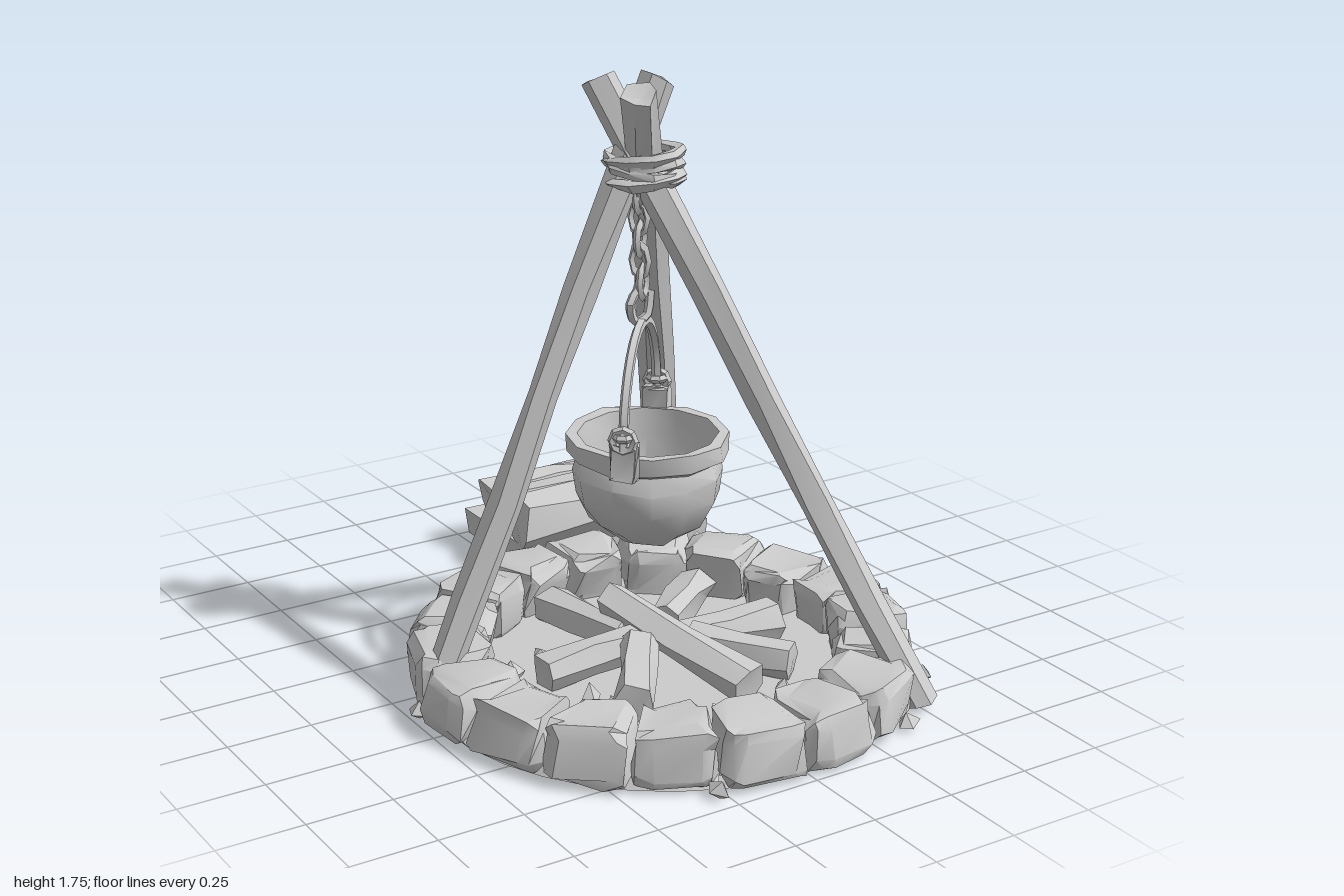
import * as THREE from 'three';
import { toCreasedNormals } from 'three/addons/utils/BufferGeometryUtils.js';
import { RoundedBoxGeometry } from 'three/addons/geometries/RoundedBoxGeometry.js';

const V = (x, y, z) => new THREE.Vector3(x, y, z);
const grey = new THREE.MeshStandardMaterial({ color: 0xcccccc });
const greyOpen = new THREE.MeshStandardMaterial({ color: 0xcccccc, side: THREE.DoubleSide });

// repeatable value in -0.5..0.5
function noise(a, b = 0) {
  const s = Math.sin(a * 12.9898 + b * 78.233) * 43758.5453;
  return s - Math.floor(s) - 0.5;
}

// move every vertex by a rule
function warp(geo, rule) {
  const pos = geo.attributes.position;
  const p = V(0, 0, 0);
  for (let i = 0; i < pos.count; i++) {
    p.fromBufferAttribute(pos, i);
    rule(p);
    pos.setXYZ(i, p.x, p.y, p.z);
  }
  return geo;
}

// roughen a shape; coincident corners move together
function roughen(geo, amount, seed) {
  return warp(geo, (p) => {
    const k = Math.round(p.x * 500) + Math.round(p.y * 500) * 3.7 + Math.round(p.z * 500) * 7.3;
    p.x += noise(k, seed) * amount;
    p.y += noise(k, seed + 1.3) * amount;
    p.z += noise(k, seed + 2.6) * amount;
  });
}

function add(parent, name, geo, crease = 0.6, material = grey) {
  const mesh = new THREE.Mesh(toCreasedNormals(geo, crease), material);
  mesh.name = name;
  parent.add(mesh);
  return mesh;
}

function group(parent, name) {
  const g = new THREE.Group();
  g.name = name;
  parent.add(g);
  return g;
}

// rough stick from a to b, resting on or above the ground
function stick(a, b, r0, r1, sides, rows, rough, seed) {
  const dir = b.clone().sub(a);
  const geo = new THREE.CylinderGeometry(r1, r0, dir.length(), sides, rows);
  roughen(geo, rough, seed);
  geo.applyQuaternion(new THREE.Quaternion().setFromUnitVectors(V(0, 1, 0), dir.normalize()));
  const mid = a.clone().add(b).multiplyScalar(0.5);
  geo.translate(mid.x, mid.y, mid.z);
  return warp(geo, (p) => { p.y = Math.max(p.y, 0); });
}

const CZ = 0.25; // centre of the fire ring
const POT = V(0, 0, 0.16);

function addFireRing(root) {
  const disc = new THREE.CylinderGeometry(0.68, 0.7, 0.03, 36);
  disc.translate(0, 0.015, CZ);
  add(root, 'ashBed', disc);

  const ring = group(root, 'stoneRing');
  const count = 18, R = 0.625, step = (Math.PI * 2) / count;
  for (let i = 0; i < count; i++) {
    const w = R * step * (0.99 + 0.1 * noise(i, 4));
    const h = 0.17 + 0.02 * noise(i, 5);
    const geo = new RoundedBoxGeometry(w, h, 0.22, 1, 0.042);
    roughen(geo, 0.026, i + 1);
    warp(geo, (p) => {
      const t = (i + 0.5) * step + p.x / R;
      const r = R + p.z + 0.02 * noise(i, 6) - (p.y > 0 ? 0.015 : 0);
      p.set(r * Math.sin(t), Math.max(0, p.y + h / 2), CZ + r * Math.cos(t));
    });
    add(ring, 'ringStone', geo, 0.5);
  }

  // small chips in and around the ring: x, z, size
  const chips = group(root, 'stoneChips');
  [[-0.31, 0.35, 0.035], [0.11, -0.15, 0.04], [-0.28, 0.03, 0.03], [-0.24, 0.07, 0.02], [0.2, 0.57, 0.025],
    [-0.01, 0.64, 0.025], [0.39, 0.16, 0.02], [-0.28, 0.43, 0.03], [-0.4, 0.08, 0.03], [0.6, 0.68, 0.035],
    [-0.28, 0.94, 0.035], [0.74, 0.33, 0.03], [-0.73, 0.12, 0.035], [0.39, 0.89, 0.03]].forEach(([x, z, s], i) => {
    const geo = roughen(new THREE.OctahedronGeometry(s), s * 0.6, i);
    const inside = Math.hypot(x, z - CZ) < 0.6;
    geo.translate(x, (inside ? 0.03 : 0) + s * 0.6, z);
    add(chips, 'chip', warp(geo, (p) => { p.y = Math.max(p.y, 0); }), 0.1);
  });
}

function addFireLogs(root) {
  const logs = group(root, 'fireLogs');
  // outer end x, z, then inner end x, y, z
  [[-0.11, -0.21, -0.07, 0.1, 0.15], [0.34, -0.1, 0.08, 0.11, 0.13], [0.39, 0.24, 0.05, 0.1, 0.24],
    [0.27, 0.5, 0.08, 0.1, 0.27], [-0.26, 0.51, -0.08, 0.12, 0.24], [-0.37, 0.19, -0.05, 0.1, 0.2],
    [0.09, 0.56, -0.05, 0.17, 0.04]].forEach(([ox, oz, ix, iy, iz], i) => {
    add(logs, 'fireLog', stick(V(ox, 0.075, oz), V(ix, iy, iz), 0.062, 0.052, 6, 2, 0.02, i + 20), 0.5);
  });
}

function addTripod(root) {
  const tripod = group(root, 'tripod');
  [[V(-0.68, 0.02, 0.1), V(0.04, 1.73, 0.14)],
    [V(0.5, 0.01, 0.81), V(-0.1, 1.73, 0.06)],
    [V(0.45, 0.01, -0.42), V(-0.09, 1.72, 0.26)]].forEach(([foot, top], i) => {
    add(tripod, 'pole', stick(foot, top, 0.046, 0.05, 6, 6, 0.018, i + 40), 0.5);
  });

  // rope wound around the crossing
  const ropes = group(tripod, 'lashing');
  for (let i = 0; i < 4; i++) {
    const geo = new THREE.TorusGeometry(0.098 + 0.008 * noise(i, 3), 0.018, 5, 10);
    geo.rotateX(Math.PI / 2 + 0.28 * noise(i, 8));
    geo.rotateZ(0.35 * noise(i, 11));
    roughen(geo, 0.012, i + 60);
    geo.translate(-0.015, 1.468 + i * 0.02, 0.16);
    add(ropes, 'ropeTurn', geo);
  }
}

function addChain(root) {
  const chain = group(root, 'chain');
  for (let i = 0; i < 5; i++) {
    const geo = new THREE.TorusGeometry(0.03, 0.011, 4, 8);
    geo.scale(0.85, 1.45, 1);
    geo.rotateY(0.6 + (i * Math.PI) / 2);
    geo.translate(-0.015 + 0.015 * noise(i, 2), 1.41 - i * 0.062, 0.145);
    add(chain, 'chainLink', geo);
  }
  // hook holding the handle
  const hook = new THREE.CatmullRomCurve3([V(0, 0.09, 0), V(-0.01, 0.05, 0), V(-0.04, 0.02, 0.01),
    V(-0.02, -0.04, 0), V(0.02, -0.03, 0), V(0.04, 0.04, -0.01)].map((p) => p.add(V(-0.015, 1.09, 0.145))));
  add(chain, 'hook', new THREE.TubeGeometry(hook, 12, 0.014, 5, false), 0.6, greyOpen);
}

function addCauldron(root) {
  const pot = group(root, 'cauldron');
  const profile = [[0, 0.4], [0.08, 0.405], [0.16, 0.46], [0.208, 0.54], [0.218, 0.61], [0.205, 0.655],
    [0.232, 0.665], [0.235, 0.72], [0.2, 0.72], [0.19, 0.65], [0.185, 0.56], [0.13, 0.47], [0, 0.44]];
  const bowl = new THREE.LatheGeometry(profile.map(([r, y]) => new THREE.Vector2(r, y)), 12);
  roughen(bowl, 0.012, 80);
  bowl.translate(POT.x, 0, POT.z);
  add(pot, 'bowl', bowl, 0.65, greyOpen);

  // handle plane runs from the back left to the front right of the pot
  const side = V(0.68, 0, -0.73);
  const c = V(-0.02, 0, 0.155);
  const arc = [];
  for (let i = 0; i <= 8; i++) {
    const t = (i / 8) * Math.PI;
    arc.push(c.clone().addScaledVector(side, 0.26 * Math.cos(t)).add(V(0, 0.76 + 0.285 * Math.sin(t), 0)));
  }
  add(pot, 'handle', new THREE.TubeGeometry(new THREE.CatmullRomCurve3(arc), 16, 0.015, 5, false), 0.6, greyOpen);

  for (const s of [-1, 1]) {
    const ear = group(pot, 'handleEar');
    ear.position.copy(c).addScaledVector(side, 0.245 * s);
    ear.rotation.y = Math.atan2(-side.z, side.x);
    const lug = roughen(new RoundedBoxGeometry(0.05, 0.11, 0.08, 1, 0.012), 0.012, 90 + s);
    lug.translate(0, 0.725, 0);
    add(ear, 'lug', lug);
    const eye = new THREE.TorusGeometry(0.032, 0.012, 5, 8);
    eye.rotateY(Math.PI / 2);
    eye.translate(0.015 * s, 0.79, 0);
    add(ear, 'eye', eye);
    const knot = new THREE.TorusGeometry(0.022, 0.012, 5, 7);
    knot.rotateX(Math.PI / 2);
    knot.translate(0.012 * s, 0.8, 0);
    add(ear, 'handleKnot', knot);
  }
}

function addWoodpile(root) {
  const pile = group(root, 'woodpile');
  // split logs underneath: x, z from, z to, width
  [[0.11, -0.99, -0.59, 0.16], [0.285, -0.98, -0.57, 0.16], [0.45, -0.83, -0.53, 0.13], [0.59, -0.83, -0.51, 0.13]]
    .forEach(([x, z0, z1, w], i) => {
      const geo = roughen(new THREE.BoxGeometry(w, 0.085, z1 - z0), 0.018, i + 100);
      geo.translate(x, 0.05, (z0 + z1) / 2);
      add(pile, 'splitLog', warp(geo, (p) => { p.y = Math.max(p.y, 0); }), 0.3);
    });
  // logs stacked across the top
  [[V(0.02, 0.165, -0.635), V(0.65, 0.16, -0.56), 0.09], [V(0.04, 0.185, -0.73), V(0.68, 0.17, -0.7), 0.066],
    [V(0.03, 0.165, -0.845), V(0.71, 0.17, -0.81), 0.08]].forEach(([a, b, r], i) => {
    add(pile, 'topLog', stick(a, b, r, r * 0.93, 7, 3, 0.035, i + 120), 0.5);
  });
}

export function createModel() {
  const root = new THREE.Group();
  root.name = 'campfire';
  addFireRing(root);
  addFireLogs(root);
  addTripod(root);
  addChain(root);
  addCauldron(root);
  addWoodpile(root);
  return root;
}
